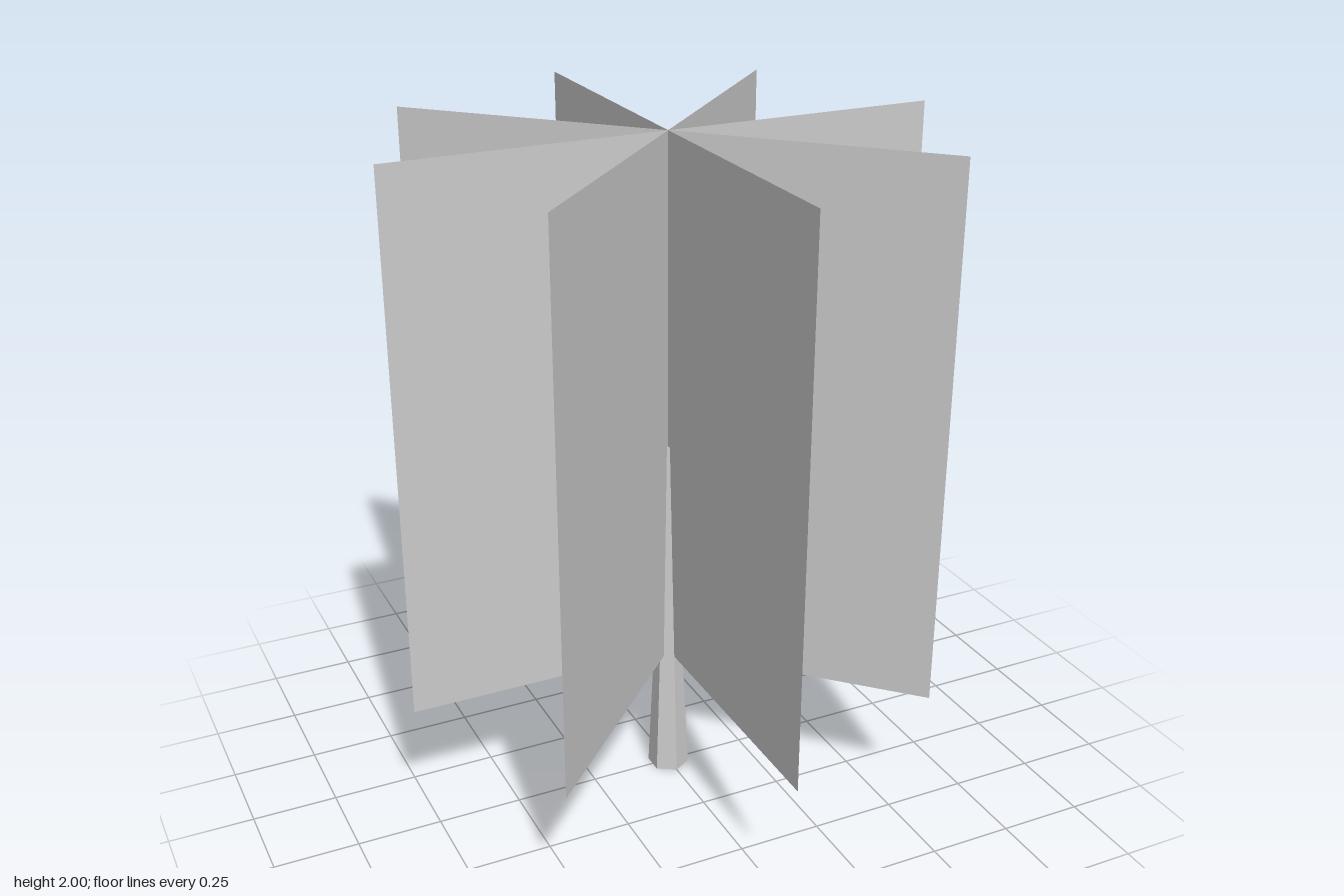
import * as THREE from 'three';

export function createModel() {
  const model = new THREE.Group();
  const grey = { color: 0xcccccc, flatShading: true };

  // Tapered six-sided trunk
  const trunkHeight = 1.08;
  const trunk = new THREE.Mesh(
    new THREE.CylinderGeometry(0.012, 0.062, trunkHeight, 6),
    new THREE.MeshStandardMaterial(grey)
  );
  trunk.name = 'trunk';
  trunk.position.y = trunkHeight / 2;
  model.add(trunk);

  // Four flat foliage cards crossing on the trunk axis
  const foliage = new THREE.Group();
  foliage.name = 'foliage';
  const cardGeometry = new THREE.PlaneGeometry(1.61, 1.6);
  const cardMaterial = new THREE.MeshStandardMaterial({ ...grey, side: THREE.DoubleSide });
  for (let i = 0; i < 4; i++) {
    const card = new THREE.Mesh(cardGeometry, cardMaterial);
    card.name = `foliageCard${i + 1}`;
    card.position.y = 1.2;
    card.rotation.y = (i * Math.PI) / 4;
    foliage.add(card);
  }
  model.add(foliage);

  return model;
}
